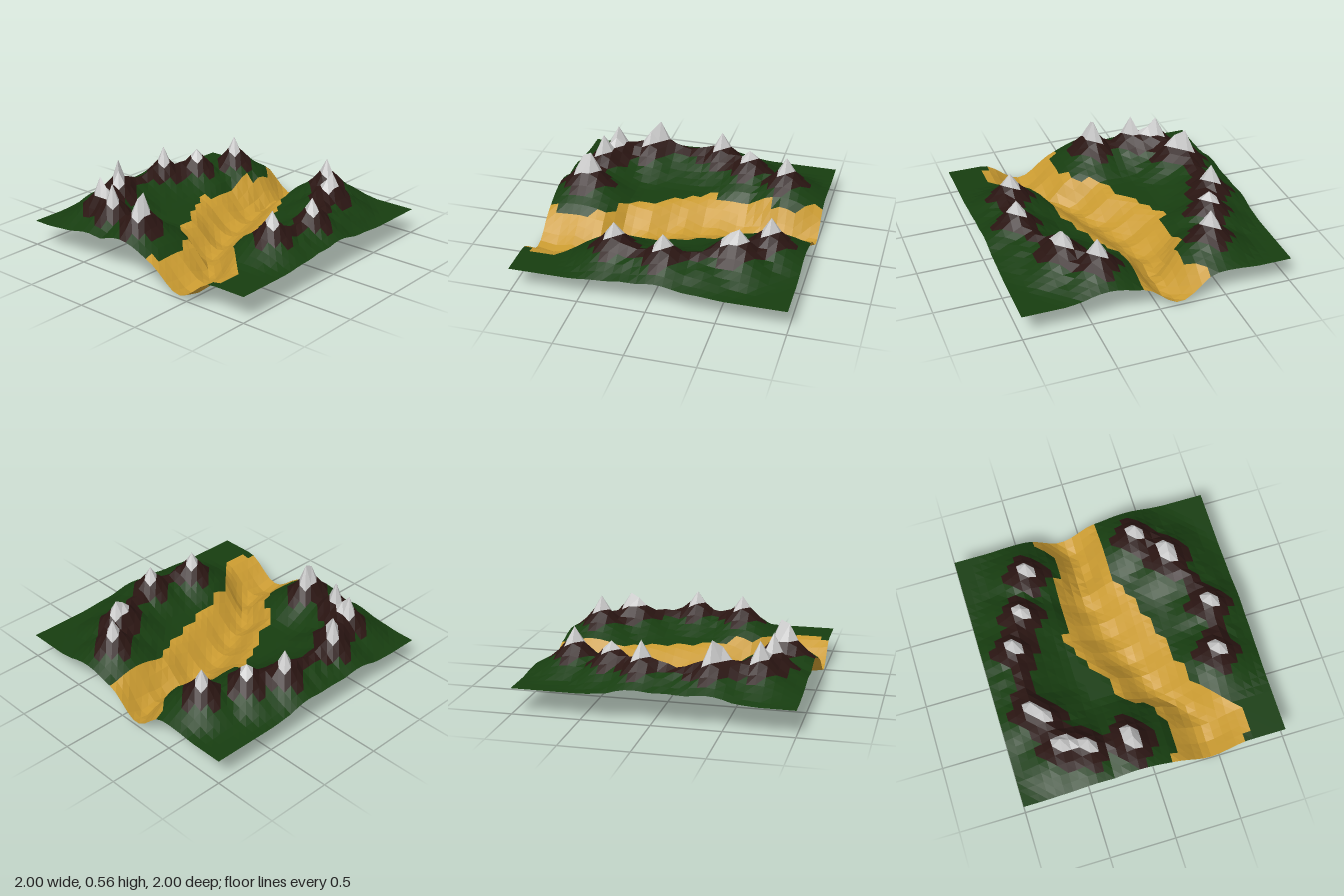
import * as THREE from 'three';

const CELLS = 32, LEVEL = 0.19;

// Piecewise linear lookup in [[x, y], ...]
function lookup(table, x) {
  for (let i = 1; i < table.length; i++) {
    const [x0, y0] = table[i - 1], [x1, y1] = table[i];
    if (x <= x1) return y0 + (y1 - y0) * Math.max(0, (x - x0) / (x1 - x0));
  }
  return table[table.length - 1][1];
}

// Repeatable noise in -1..1 for a grid point
function noise(x, z) {
  const s = Math.sin(x * 127.1 + z * 311.7 + 4.2) * 43758.5453;
  return 2 * (s - Math.floor(s)) - 1;
}

// River banks: [x, z]
const northBank = [[-1, 0.13], [-0.56, 0.13], [-0.44, -0.1], [-0.25, -0.15], [-0.06, -0.29],
  [0.12, -0.37], [0.44, -0.38], [0.7, -0.27], [0.85, -0.31], [1, -0.43]];
const southBank = [[-1, 0.73], [-0.75, 0.75], [-0.5, 0.53], [-0.25, 0.42], [0, 0.37],
  [0.3, 0.25], [0.5, 0.14], [1, 0.13]];

// Mountain ridges: [x, z, crest height above the plain]
const ridges = [
  [[-0.79, -0.12, 0.2], [-0.77, -0.26, 0.14], [-0.75, -0.44, 0.21], [-0.69, -0.62, 0.21],
    [-0.44, -0.69, 0.21], [-0.36, -0.75, 0.2], [-0.12, -0.76, 0.18], [0.12, -0.75, 0.2],
    [0.38, -0.62, 0.19], [0.52, -0.56, 0.1], [0.69, -0.5, 0.19]],
  [[-0.31, 0.69, 0.2], [-0.12, 0.75, 0.17], [0.06, 0.75, 0.2], [0.3, 0.7, 0.16],
    [0.5, 0.57, 0.19], [0.62, 0.5, 0.17], [0.75, 0.38, 0.2]],
];
const ridgeFalloff = [[0, 1], [0.0625, 0.74], [0.125, 0.55], [0.2, 0.33], [0.3, 0.1], [0.38, 0]];

// Snowy peaks: [x, z, height]
const peaks = [
  [-0.8125, -0.125, 0.53], [-0.75, -0.125, 0.56], [-0.75, -0.4375, 0.55], [-0.6875, -0.5625, 0.47],
  [-0.6875, -0.625, 0.54], [-0.4375, -0.6875, 0.5], [-0.375, -0.75, 0.56], [0.125, -0.75, 0.53],
  [0.375, -0.625, 0.47], [0.6875, -0.5, 0.52], [-0.3125, 0.6875, 0.5], [0.0625, 0.75, 0.5],
  [0.5, 0.5625, 0.47], [0.5625, 0.5625, 0.505], [0.75, 0.375, 0.52],
];

function hillHeight(x, z) {
  let h = 0;
  for (const ridge of ridges) {
    for (let i = 1; i < ridge.length; i++) {
      const [ax, az, ah] = ridge[i - 1], [bx, bz, bh] = ridge[i];
      const dx = bx - ax, dz = bz - az;
      const t = THREE.MathUtils.clamp(((x - ax) * dx + (z - az) * dz) / (dx * dx + dz * dz), 0, 1);
      const d = Math.hypot(x - ax - dx * t, z - az - dz * t);
      h = Math.max(h, (ah + (bh - ah) * t) * lookup(ridgeFalloff, d));
    }
  }
  h *= 1 + 0.1 * noise(x, z);
  for (const [px, pz, top] of peaks) {
    const d = Math.hypot(x - px, z - pz);
    h = Math.max(h, lookup([[0, top - LEVEL], [0.0625, 0.22], [0.125, 0.145], [0.19, 0.09], [0.34, 0]], d));
  }
  return h;
}

function terrainHeight(x, z) {
  const n = lookup(northBank, x), s = lookup(southBank, x);
  const t = THREE.MathUtils.clamp((z - n) / (s - n), 0, 1);
  const cut = Math.sin(Math.PI * t) ** 2;
  const scallop = 0.013 * (1 - Math.cos((x + 0.875) * Math.PI * 8));
  return LEVEL + hillHeight(x, z) * (1 - cut) ** 2 - (LEVEL - scallop) * cut;
}

export function createModel() {
  const group = new THREE.Group();
  group.name = 'valleyTerrain';

  // Height field
  const plane = new THREE.PlaneGeometry(2, 2, CELLS, CELLS).rotateX(-Math.PI / 2);
  const pos = plane.attributes.position;
  for (let i = 0; i < pos.count; i++) pos.setY(i, terrainHeight(pos.getX(i), pos.getZ(i)));

  // Sort the faces into ground types by height
  const types = {
    riverBed: { color: 0xc99a30, faces: [] },
    grassland: { color: 0x173d10, faces: [] },
    mountainRock: { color: 0x2a1512, faces: [] },
    snowCaps: { color: 0xcccccc, faces: [] },
  };
  const index = plane.index.array;
  for (let i = 0; i < index.length; i += 3) {
    const face = [index[i], index[i + 1], index[i + 2]];
    const ys = face.map((v) => pos.getY(v));
    const low = Math.min(...ys), high = Math.max(...ys);
    const type = high > 0.455 ? 'snowCaps' : high > 0.335 ? 'mountainRock'
      : low < 0.178 ? 'riverBed' : 'grassland';
    types[type].faces.push(...face);
  }

  // One faceted mesh per ground type
  for (const [name, { color, faces }] of Object.entries(types)) {
    const part = new THREE.BufferGeometry();
    part.setAttribute('position', pos);
    part.setIndex(faces);
    const geometry = part.toNonIndexed();
    geometry.computeVertexNormals();
    const mesh = new THREE.Mesh(geometry, new THREE.MeshStandardMaterial({
      color, flatShading: true, side: THREE.DoubleSide,
    }));
    mesh.name = name;
    group.add(mesh);
  }
  return group;
}
